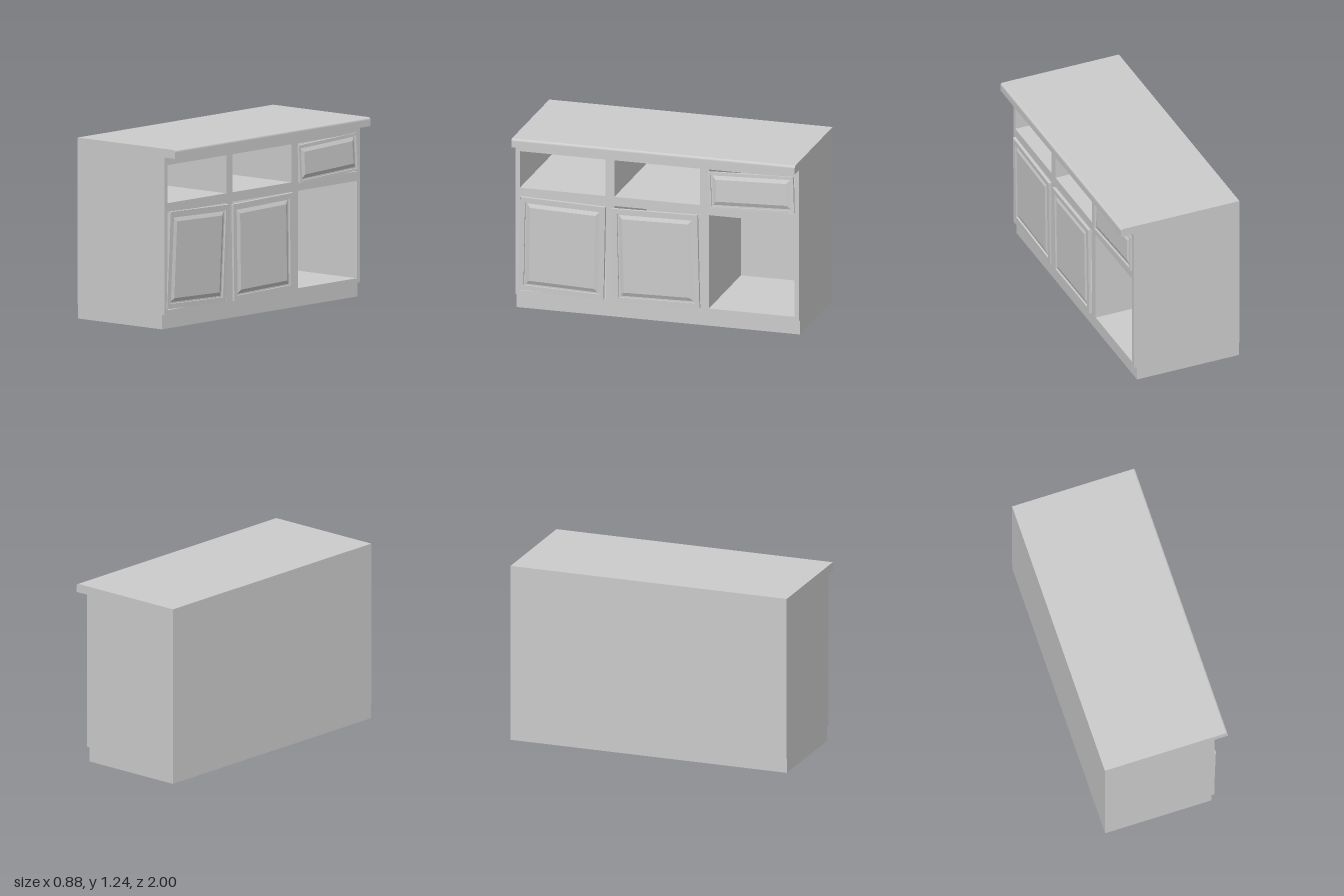
import * as THREE from 'three';

const material = new THREE.MeshStandardMaterial({ color: 0xcccccc });

function add(parent, name, geometry, x = 0, y = 0, z = 0) {
  const mesh = new THREE.Mesh(geometry, material);
  mesh.name = name;
  mesh.position.set(x, y, z);
  parent.add(mesh);
  return mesh;
}

function rect(target, x0, y0, x1, y1) {
  target.moveTo(x0, y0);
  target.lineTo(x1, y0);
  target.lineTo(x1, y1);
  target.lineTo(x0, y1);
  target.closePath();
  return target;
}

function extrude(shape, depth) {
  return new THREE.ExtrudeGeometry(shape, { depth, bevelEnabled: false, curveSegments: 6 });
}

// Fielded panel: frame with a narrow groove around a raised, bevelled centre.
function createPanel(name, w, h, rim, thickness) {
  const panel = new THREE.Group();
  panel.name = name;
  const a = w / 2, b = h / 2;
  const outline = rect(new THREE.Shape(), -a, -b, a, b);
  outline.holes.push(rect(new THREE.Path(), -a + rim, -b + rim, a - rim, b - rim));
  add(panel, 'panelFrame', extrude(outline, thickness));
  const back = thickness * 0.4;
  add(panel, 'panelBack', new THREE.BoxGeometry(w - rim * 2, h - rim * 2, back), 0, 0, back / 2);

  // Raised centre: a box whose front corners are drawn inwards
  const inset = rim + 0.01, slope = 0.026, rise = thickness * 0.55;
  const field = new THREE.BoxGeometry(w - inset * 2, h - inset * 2, rise);
  const p = field.attributes.position;
  for (let i = 0; i < p.count; i++) {
    if (p.getZ(i) > 0) {
      p.setX(i, p.getX(i) - Math.sign(p.getX(i)) * slope);
      p.setY(i, p.getY(i) - Math.sign(p.getY(i)) * slope);
    }
  }
  field.computeVertexNormals();
  add(panel, 'raisedField', field, 0, 0, back + rise / 2);
  return panel;
}

export function createModel() {
  const model = new THREE.Group();
  model.name = 'kitchenCabinet';

  // Groups drawn in the side plane: local x runs to -z, local z to +x
  const carcass = new THREE.Group();
  carcass.name = 'carcass';
  carcass.rotation.y = Math.PI / 2;
  model.add(carcass);

  // Body with three columns of drawer and door compartments
  const body = rect(new THREE.Shape(), -1, 0.1, 1, 1.175);
  for (const centre of [-0.667, 0, 0.667]) {
    for (const [low, high] of [[0.13, 0.795], [0.86, 1.12]]) {
      body.holes.push(rect(new THREE.Path(), centre - 0.302, low, centre + 0.302, high));
    }
  }
  add(carcass, 'compartments', extrude(body, 0.74), 0, 0, -0.4);
  add(model, 'backBoard', new THREE.BoxGeometry(0.04, 1.075, 2), -0.42, 0.6375, 0);
  add(model, 'toeKick', new THREE.BoxGeometry(0.755, 0.1, 2), -0.0605, 0.05, 0);

  // Overhanging worktop with a rounded front edge
  const top = new THREE.Shape();
  top.moveTo(-0.44, 1.175);
  top.lineTo(0.435, 1.175);
  top.lineTo(0.435, 1.217);
  top.quadraticCurveTo(0.435, 1.235, 0.417, 1.235);
  top.lineTo(-0.44, 1.235);
  top.closePath();
  add(model, 'worktop', extrude(top, 2), 0, 0, -1);

  // Loose, slightly crooked doors and drawer front: [name, u, y, face, w, h, roll, tilt, yaw]
  const fronts = [
    ['leftDoor', -0.668, 0.462, 0.334, 0.6, 0.665, -0.026, 0.026, -0.004],
    ['middleDoor', -0.005, 0.455, 0.338, 0.605, 0.662, 0.022, 0.004, -0.01],
    ['drawerFront', 0.667, 0.987, 0.334, 0.6, 0.258, 0.036, -0.03, 0.004],
  ];
  for (const [name, u, y, face, w, h, roll, tilt, yaw] of fronts) {
    const panel = createPanel(name, w, h, name === 'drawerFront' ? 0.016 : 0.034, 0.021);
    panel.position.set(u, y, face);
    panel.rotation.set(tilt, yaw, roll);
    carcass.add(panel);
  }
  return model;
}
